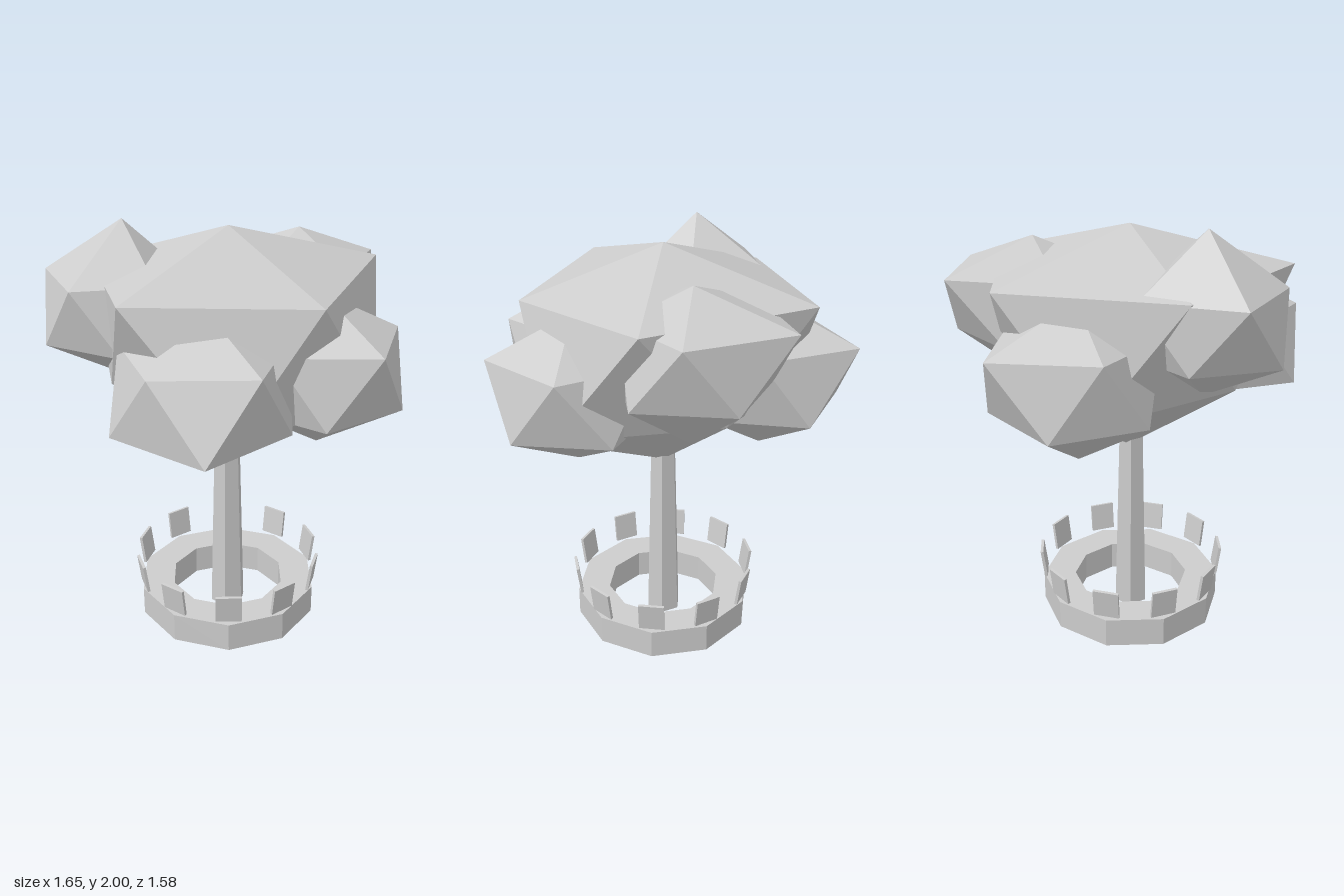
import * as THREE from 'three';

const AXIS_Z = 0.04; // depth of the trunk and planter axis

// Twenty-faced leaf clump: two poles and two staggered rings of five corners.
// Ring radii start at +x and turn towards +z; the lower ring is offset by 36 degrees.
function clumpGeometry({ x, z, top, upperY, lowerY, bottom, upper, lower }) {
  const ring = (radii, y, offset) => radii.map((r, i) => {
    const a = (i * 72 + offset) * Math.PI / 180;
    return [x + r * Math.cos(a), Array.isArray(y) ? y[i] : y, z + r * Math.sin(a)];
  });
  const t = [x, top, z], b = [x, bottom, z];
  const u = ring(upper, upperY, 0), l = ring(lower, lowerY, 36);
  const pos = [];
  for (let i = 0; i < 5; i++) {
    const n = (i + 1) % 5;
    for (const p of [t, u[n], u[i], u[i], u[n], l[i], l[i], u[n], l[n], b, l[i], l[n]]) pos.push(...p);
  }
  const g = new THREE.BufferGeometry();
  g.setAttribute('position', new THREE.Float32BufferAttribute(pos, 3));
  g.computeVertexNormals();
  return g;
}

function decagon(Type, radius) {
  const path = new Type();
  for (let i = 0; i < 10; i++) {
    const a = i * Math.PI / 5;
    path[i ? 'lineTo' : 'moveTo'](radius * Math.cos(a), radius * Math.sin(a));
  }
  path.closePath();
  return path;
}

export function createModel() {
  const model = new THREE.Group();
  model.name = 'tree';
  const grey = new THREE.MeshStandardMaterial({ color: 0xcccccc, flatShading: true });
  grey.name = 'plain grey';
  const add = (name, geometry, parent = model) => {
    const mesh = new THREE.Mesh(geometry, grey);
    mesh.name = name;
    parent.add(mesh);
    return mesh;
  };

  // Leaf clumps
  const clumps = {
    crown: { x: 0, z: 0.03, top: 1.96, bottom: 0.88,
      upperY: [1.73, 1.77, 1.76, 1.76, 1.77], lowerY: [1.22, 1.28, 1.22, 1.28, 1.22],
      upper: [0.65, 0.755, 0.68, 0.73, 0.74], lower: [0.72, 0.56, 0.62, 0.56, 0.7] },
    frontHighClump: { x: -0.24, z: 0.43, top: 2, bottom: 1.27, upperY: 1.75, lowerY: 1.46,
      upper: [0.27, 0.35, 0.39, 0.38, 0.27], lower: [0.31, 0.37, 0.32, 0.34, 0.3] },
    frontLeftClump: { x: 0.32, z: 0.39, top: 1.72, bottom: 1.09, upperY: 1.53, lowerY: 1.21,
      upper: [0.38, 0.38, 0.39, 0.38, 0.37], lower: [0.44, 0.42, 0.39, 0.36, 0.38] },
    leftClump: { x: 0.43, z: -0.15, top: 1.72, bottom: 1.02, upperY: 1.53, lowerY: 1.22,
      upper: [0.39, 0.37, 0.37, 0.37, 0.38], lower: [0.36, 0.36, 0.36, 0.37, 0.38] },
    rightClump: { x: -0.45, z: -0.08, top: 1.72, bottom: 0.99, upperY: 1.54, lowerY: 1.22,
      upper: [0.34, 0.36, 0.35, 0.45, 0.38], lower: [0.37, 0.37, 0.38, 0.39, 0.37] },
    backClump: { x: -0.04, z: -0.42, top: 1.89, bottom: 1.18, upperY: 1.75, lowerY: 1.45,
      upper: [0.31, 0.35, 0.42, 0.46, 0.39], lower: [0.35, 0.36, 0.36, 0.37, 0.38] },
  };
  for (const [name, spec] of Object.entries(clumps)) add(name, clumpGeometry(spec));

  // Tapered six-sided trunk
  const trunk = add('trunk', new THREE.CylinderGeometry(0.065, 0.09, 0.95, 6));
  trunk.position.set(0, 0.475, AXIS_Z);
  trunk.rotation.y = Math.PI / 4;

  // Ten-sided planter ring
  const shape = decagon(THREE.Shape, 0.45);
  shape.holes.push(decagon(THREE.Path, 0.287));
  const ring = new THREE.ExtrudeGeometry(shape, { depth: 0.145, bevelEnabled: false });
  ring.rotateX(-Math.PI / 2);
  add('planterRing', ring).position.z = AXIS_Z;

  // Small boards above the ring corners, leaning outwards
  const boards = new THREE.Group();
  boards.name = 'boards';
  boards.position.z = AXIS_Z;
  model.add(boards);
  const boardGeometry = new THREE.BoxGeometry(0.014, 0.146, 0.125);
  boardGeometry.rotateZ(-0.13);
  boardGeometry.translate(0.446, 0.237, 0);
  for (let i = 0; i < 10; i++) add('board', boardGeometry, boards).rotation.y = i * Math.PI / 5;

  return model;
}
